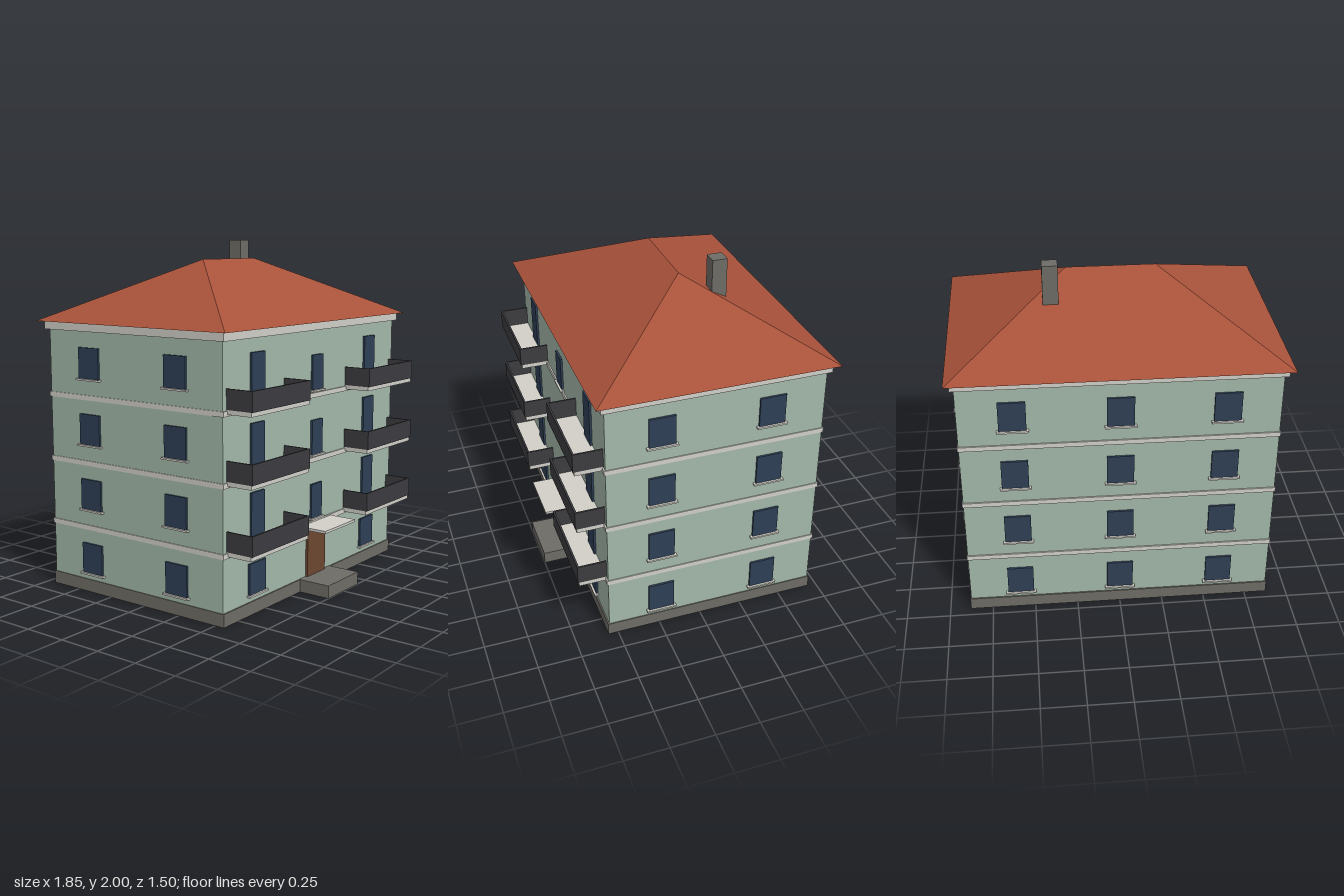
import * as THREE from 'three';

const mat = (color) => new THREE.MeshStandardMaterial({ color, flatShading: true });

export function createModel() {
  const house = new THREE.Group();
  house.name = 'apartmentBuilding';

  const wall = mat(0xa3b8a9), stone = mat(0x6e6c66), trim = mat(0xd2cfc8), roofRed = mat(0xa8523a);
  const glass = mat(0x2e3f55), railing = mat(0x3c3c40), wood = mat(0x6b4830);

  // Box given by its limits on each axis
  function box(name, material, [x0, x1], [y0, y1], [z0, z1], parent = house) {
    const mesh = new THREE.Mesh(new THREE.BoxGeometry(x1 - x0, y1 - y0, z1 - z0), material);
    mesh.position.set((x0 + x1) / 2, (y0 + y1) / 2, (z0 + z1) / 2);
    mesh.name = name;
    parent.add(mesh);
    return mesh;
  }

  const W = 0.875, FRONT = 0.55, BACK = -0.69, MID = (FRONT + BACK) / 2;
  const STOREY = 0.374;

  // Main body, plinth, floor bands and cornice
  box('walls', wall, [-W, W], [0.02, 1.5], [BACK, FRONT]);
  box('plinth', stone, [-0.88, 0.88], [0, 0.073], [BACK - 0.008, FRONT + 0.008]);
  for (let i = 1; i < 4; i++) {
    const y = i * STOREY;
    box('floorBand', trim, [-0.88, 0.88], [y - 0.008, y + 0.02], [BACK - 0.008, FRONT + 0.008]);
  }
  box('cornice', trim, [-0.895, 0.895], [1.5, 1.546], [BACK - 0.022, FRONT + 0.022]);

  // Hipped roof: a box whose top is drawn in to a ridge
  const EAVE = 1.546, RIDGE = 1.89;
  const roofGeo = new THREE.BoxGeometry(1.85, RIDGE - EAVE, 1.355);
  const p = roofGeo.attributes.position;
  for (let i = 0; i < p.count; i++) {
    if (p.getY(i) > 0) {
      p.setX(i, Math.sign(p.getX(i)) * 0.25);
      p.setZ(i, 0);
    }
  }
  roofGeo.computeVertexNormals();
  const roof = new THREE.Mesh(roofGeo, roofRed);
  roof.position.set(0, (EAVE + RIDGE) / 2, -0.073);
  roof.name = 'roof';
  house.add(roof);
  box('chimney', stone, [0.302, 0.388], [1.6, 2], [-0.3, -0.215]);

  // Window with sill, facing +z in its own frame, then turned onto a wall
  function addWindow(x, y, z, angle, w = 0.15, h = 0.174) {
    const g = new THREE.Group();
    g.name = 'window';
    box('pane', glass, [-w / 2, w / 2], [0, h], [-0.01, 0.012], g);
    box('sill', trim, [-w / 2 - 0.012, w / 2 + 0.012], [-0.01, 0], [-0.01, 0.024], g);
    g.position.set(x, y, z);
    g.rotation.y = angle;
    house.add(g);
  }

  for (let i = 0; i < 4; i++) {
    const y = 0.114 + i * STOREY;
    // Side windows
    for (const z of [0.24, -0.382]) {
      addWindow(W, y, z, Math.PI / 2);
      addWindow(-W, y, z, -Math.PI / 2);
    }
    // Back windows
    for (const x of [-0.58, 0, 0.58]) addWindow(x, y, BACK, Math.PI);
    // Stairwell windows
    if (i > 0) addWindow(0, 0.412 + (i - 1) * STOREY, FRONT, 0, 0.11, 0.2);
  }

  // Balcony with slab, three-sided parapet and door
  function addBalcony(side, y) {
    const g = new THREE.Group();
    g.name = 'balcony';
    box('balconySlab', trim, [-0.265, 0.265], [0, 0.024], [FRONT, 0.708], g);
    box('frontParapet', railing, [-0.265, 0.265], [0.024, 0.133], [0.704, 0.715], g);
    for (const s of [-1, 1]) {
      const x = s * 0.26;
      box('sideParapet', railing, [x - 0.005, x + 0.005], [0.024, 0.133], [FRONT, 0.704], g);
    }
    g.position.set(side * 0.58, y, 0);
    house.add(g);
    const x = side * 0.58;
    box('balconyDoor', glass, [x - 0.06, x + 0.06], [y + 0.024, y + 0.3], [FRONT - 0.01, FRONT + 0.012]);
  }

  for (const side of [-1, 1]) {
    addWindow(side * 0.58, 0.114, FRONT, 0);
    for (let i = 1; i < 4; i++) addBalcony(side, i * STOREY + 0.002);
  }

  // Entrance
  box('frontDoor', wood, [-0.093, 0.093], [0.073, 0.365], [FRONT - 0.01, FRONT + 0.014]);
  box('entranceStep', stone, [-0.162, 0.162], [0, 0.074], [FRONT, 0.75]);
  box('entranceCanopy', trim, [-0.162, 0.162], [0.372, 0.387], [FRONT, 0.725]);

  return house;
}
